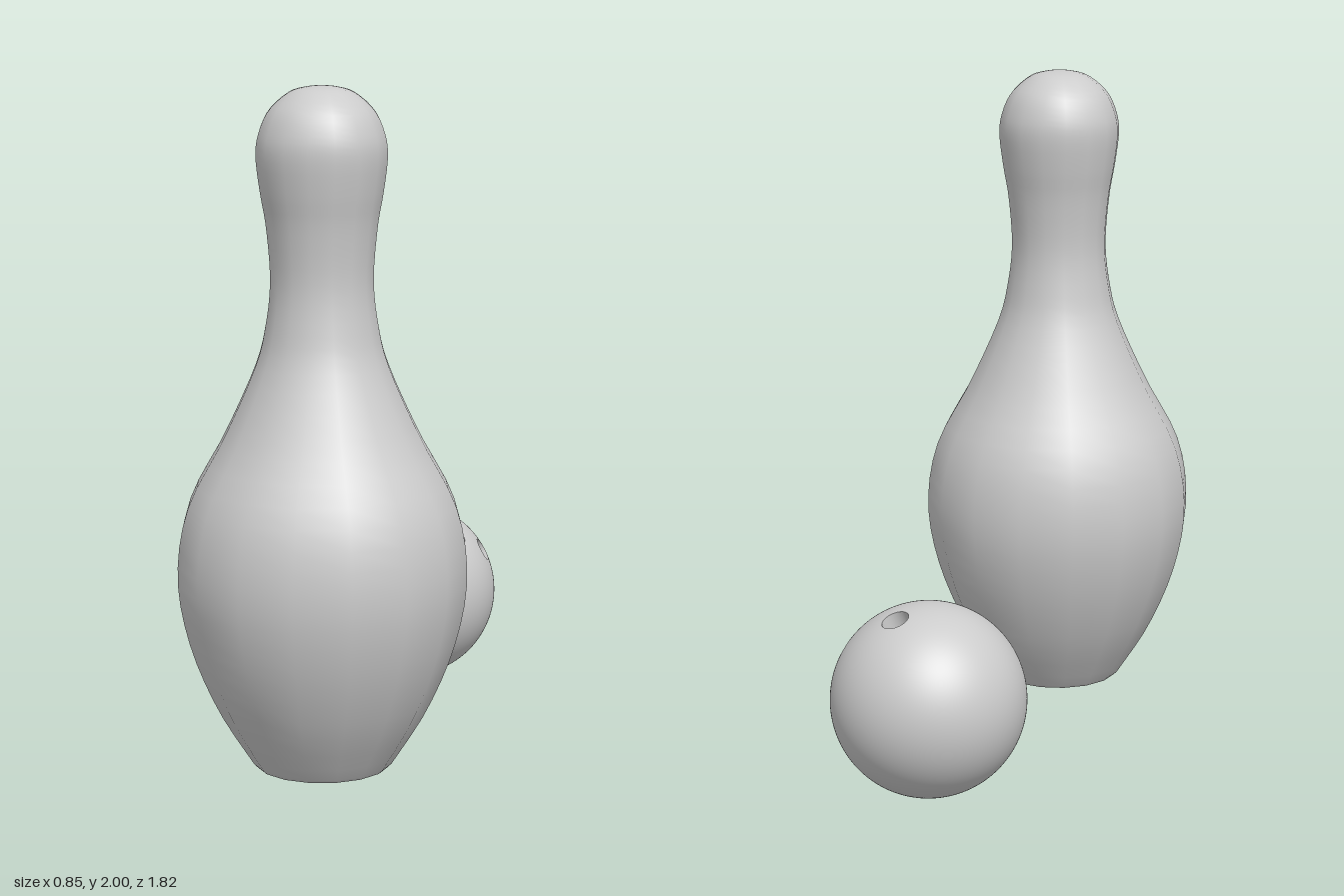
import * as THREE from 'three';

const material = new THREE.MeshStandardMaterial({ color: 0xcccccc });
const V2 = (x, y) => new THREE.Vector2(x, y);

// 16-sided turned pin with a flat, slightly bevelled base
function createPin() {
  const side = new THREE.SplineCurve([
    [0.205, 0.03], [0.31, 0.2], [0.391, 0.4], [0.424, 0.6], [0.392, 0.8],
    [0.286, 1.0], [0.195, 1.2], [0.164, 1.32], [0.15, 1.45], [0.161, 1.6], [0.178, 1.7],
    [0.19, 1.8], [0.182, 1.865], [0.152, 1.93], [0.095, 1.98], [0.045, 1.996], [0, 2],
  ].map(([x, y]) => V2(x, y)));
  const profile = [V2(0, 0.018), V2(0.18, 0.018), V2(0.195, 0.02), ...side.getPoints(56)];
  profile[profile.length - 1].x = 0;
  const pin = new THREE.Mesh(new THREE.LatheGeometry(profile, 16), material);
  pin.name = 'pin';
  pin.position.z = 0.485;
  return pin;
}

// Sphere with round openings: faces inside an opening are dropped,
// and the remaining inner corners are pushed out to its rim
function drilledSphere(radius, holes) {
  const source = new THREE.IcosahedronGeometry(1, 40).attributes.position;
  const positions = [], normals = [];
  for (let i = 0; i < source.count; i += 3) {
    const corners = [0, 1, 2].map((k) => new THREE.Vector3().fromBufferAttribute(source, i + k).normalize());
    const inside = (p, h) => p.angleTo(h.dir) < h.angle;
    if (holes.some((h) => corners.every((p) => inside(p, h)))) continue;
    for (const p of corners) {
      const h = holes.find((hole) => inside(p, hole));
      if (h) {
        const outward = p.clone().addScaledVector(h.dir, -p.dot(h.dir)).normalize();
        p.copy(h.dir).multiplyScalar(Math.cos(h.angle)).addScaledVector(outward, Math.sin(h.angle));
      }
      normals.push(p.x, p.y, p.z);
      positions.push(p.x * radius, p.y * radius, p.z * radius);
    }
  }
  const geometry = new THREE.BufferGeometry();
  geometry.setAttribute('position', new THREE.Float32BufferAttribute(positions, 3));
  geometry.setAttribute('normal', new THREE.Float32BufferAttribute(normals, 3));
  return geometry;
}

function createBall() {
  const radius = 0.287;
  const ball = new THREE.Group();
  ball.name = 'ball';
  ball.position.set(0.07, radius, -0.623);

  // Direction from the ball centre and radius of each finger hole
  const holes = [
    { name: 'thumbHole', dir: [0.07, 0.265, -0.09], r: 0.041 },
    { name: 'fingerHoleFront', dir: [0.17, 0.206, 0.095], r: 0.039 },
    { name: 'fingerHoleSide', dir: [0.25, 0.14, -0.02], r: 0.039 },
  ].map((h) => ({ ...h, dir: new THREE.Vector3(...h.dir).normalize(), angle: Math.asin(h.r / radius) }));

  const shell = new THREE.Mesh(drilledSphere(radius, holes), material);
  shell.name = 'ballShell';
  ball.add(shell);

  // Inner wall and floor of each hole
  for (const { name, dir, r, angle } of holes) {
    const top = radius * Math.cos(angle), floor = top - 0.09;
    const profile = [V2(r, top), V2(r, floor + 0.004), V2(r - 0.004, floor), V2(0, floor)];
    const hole = new THREE.Mesh(new THREE.LatheGeometry(profile, 32), material);
    hole.name = name;
    hole.quaternion.setFromUnitVectors(new THREE.Vector3(0, 1, 0), dir);
    ball.add(hole);
  }
  return ball;
}

export function createModel() {
  const model = new THREE.Group();
  model.name = 'bowlingPinAndBall';
  model.add(createPin(), createBall());
  return model;
}
